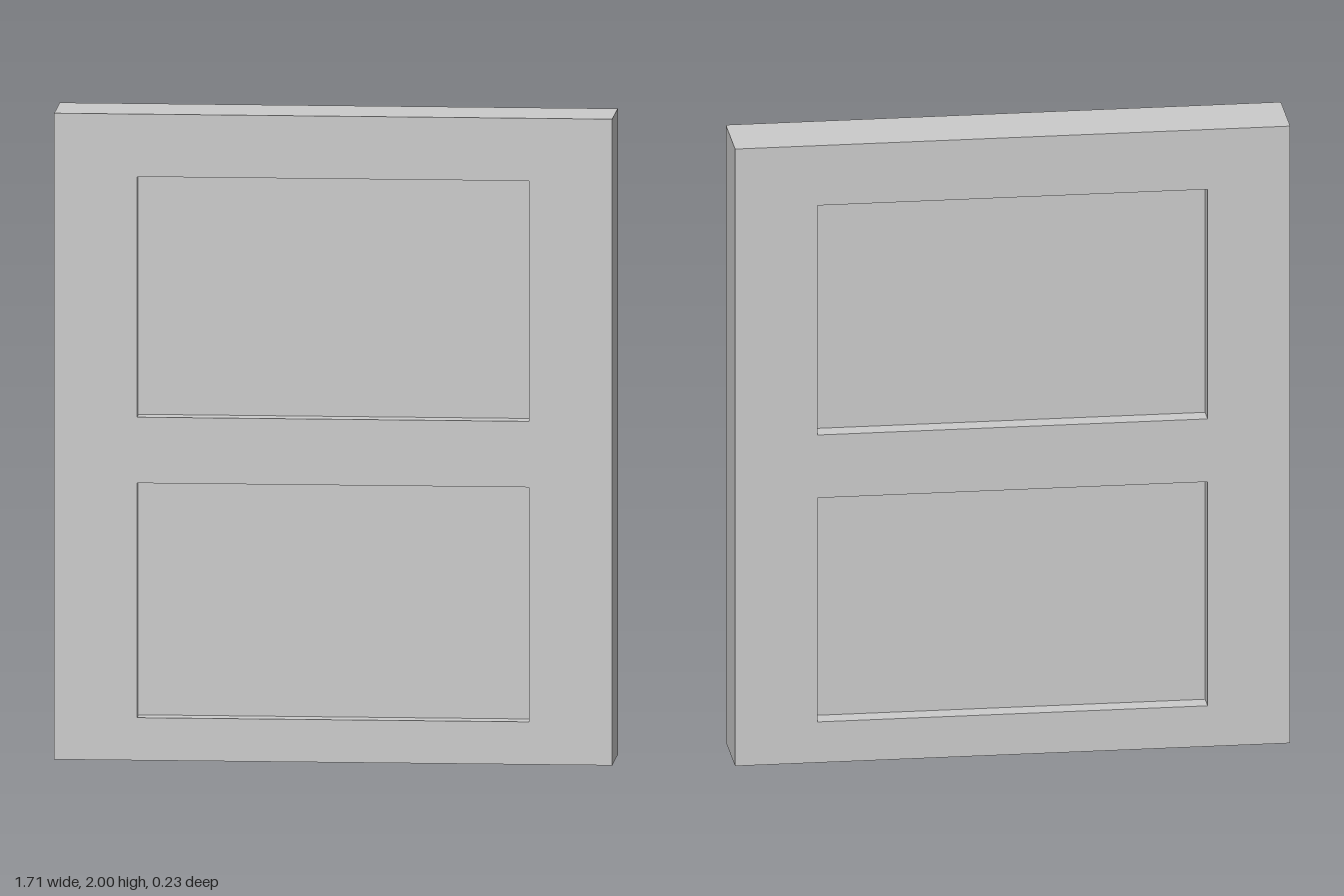
import * as THREE from 'three';
import { mergeGeometries } from 'three/addons/utils/BufferGeometryUtils.js';

const W = 1.714, H = 2, T = 0.228; // door width, height, thickness
const material = new THREE.MeshStandardMaterial({ color: 0xcccccc });

// Flat face looking along +z with rectangular holes [u0, u1, v0, v1]
function faceGeometry(w, h, holes) {
  const rect = (P, a, b, c, d) =>
    new P().moveTo(a, c).lineTo(b, c).lineTo(b, d).lineTo(a, d).closePath();
  const shape = rect(THREE.Shape, -w / 2, w / 2, -h / 2, h / 2);
  shape.holes = holes.map((r) => rect(THREE.Path, ...r));
  return new THREE.ShapeGeometry(shape).toNonIndexed();
}

// Inward-facing open box behind a hole: walls and floor, no mouth
function pocketGeometry([a, b, c, d], depth) {
  const box = new THREE.BoxGeometry(b - a, d - c, depth);
  const kept = [...box.index.array].filter((_, i) => i < 24 || i >= 30);
  box.setIndex(kept.reverse());
  box.clearGroups();
  const g = box.toNonIndexed();
  g.computeVertexNormals();
  return g.translate((a + b) / 2, (c + d) / 2, -depth / 2);
}

// One side of the door with its recesses
function side(name, w, h, holes = [], depth = 0) {
  const parts = [faceGeometry(w, h, holes), ...holes.map((r) => pocketGeometry(r, depth))];
  const mesh = new THREE.Mesh(mergeGeometries(parts), material);
  mesh.name = name;
  return mesh;
}

export function createModel() {
  const door = new THREE.Group();
  door.name = 'panelDoor';

  // Two sunken panels, the same on front and back (heights from the middle)
  const panels = [[0.132, 0.858], [1.062, 1.806]].map(([lo, hi]) => [-0.602, 0.602, lo - H / 2, hi - H / 2]);
  const front = side('frontWithPanels', W, H, panels, 0.062);
  front.position.z = T / 2;
  const back = side('backWithPanels', W, H, panels, 0.062);
  back.rotation.y = Math.PI;
  back.position.z = -T / 2;

  // Edge with five sockets
  const sockets = [[0.1, 0.27], [0.485, 0.645], [0.86, 1.03], [1.245, 1.42], [1.63, 1.795]]
    .map(([lo, hi]) => [-0.077, 0.068, lo - H / 2, hi - H / 2]);
  const socketEdge = side('socketEdge', T, H, sockets, 0.2);
  socketEdge.rotation.y = -Math.PI / 2;
  socketEdge.position.x = -W / 2;

  // Plain edges
  const plainEdge = side('plainEdge', T, H);
  plainEdge.rotation.y = Math.PI / 2;
  plainEdge.position.x = W / 2;
  const top = side('topEdge', W, T);
  top.rotation.x = -Math.PI / 2;
  top.position.y = H / 2;
  const bottom = side('bottomEdge', W, T);
  bottom.rotation.x = Math.PI / 2;
  bottom.position.y = -H / 2;

  const body = new THREE.Group();
  body.name = 'doorBody';
  body.position.y = H / 2;
  body.add(front, back, socketEdge, plainEdge, top, bottom);
  door.add(body);
  return door;
}
